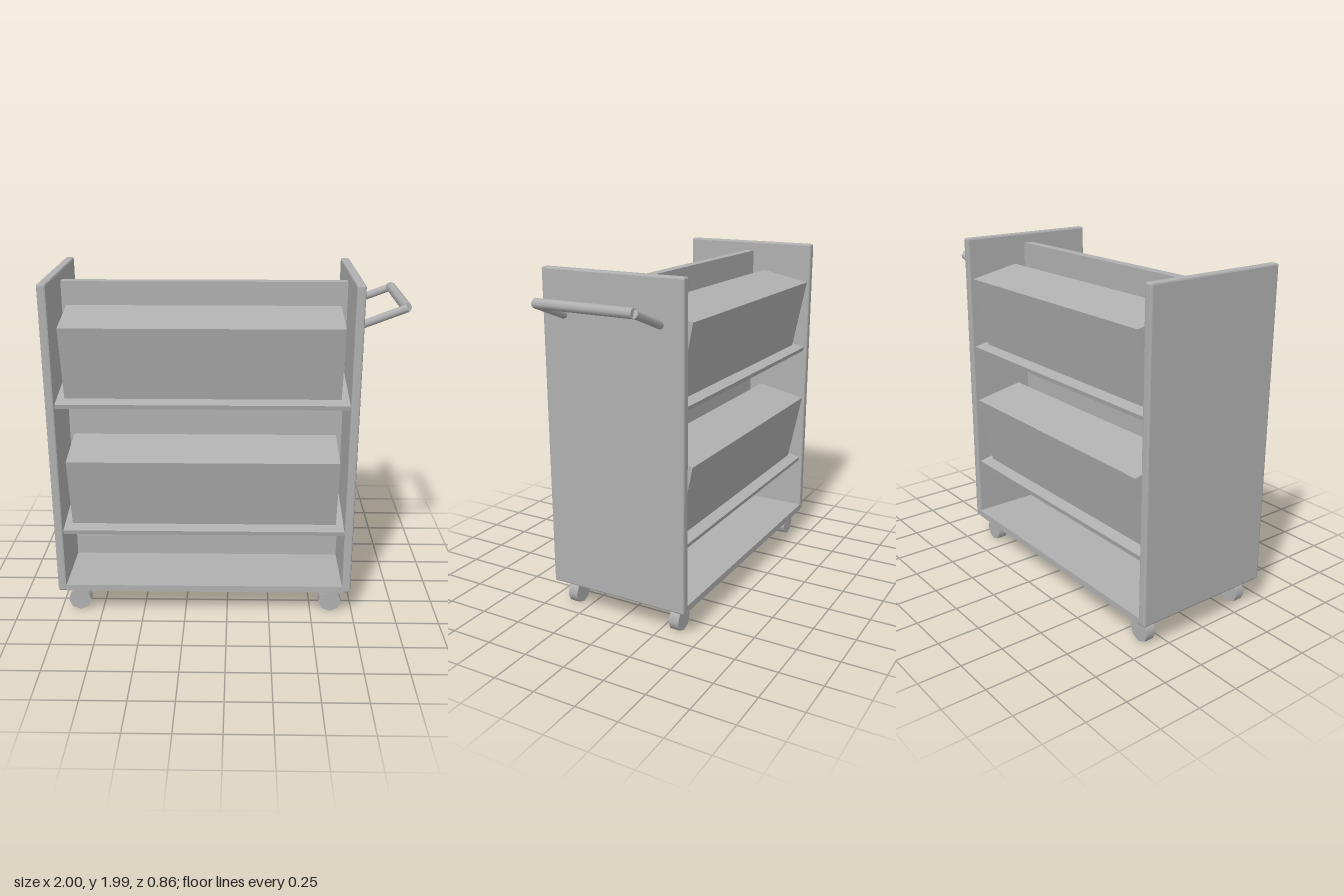
import * as THREE from 'three';
import { RoundedBoxGeometry } from 'three/addons/geometries/RoundedBoxGeometry.js';

const grey = new THREE.MeshStandardMaterial({ color: 0xb0b0b0 });
grey.name = 'plain grey';

const MID = -0.135; // middle of the cabinet along x
const TILT = 0.2;   // slope of shelves and book blocks

export function createModel() {
  const model = new THREE.Group();
  model.name = 'bookCart';

  const add = (name, geometry, x, y, z, parent = model) => {
    const mesh = new THREE.Mesh(geometry, grey);
    mesh.name = name;
    mesh.position.set(x, y, z);
    parent.add(mesh);
    return mesh;
  };

  // Round bar between two points
  const bar = (name, a, b, radius, sides) => {
    const dir = b.clone().sub(a);
    const mid = a.clone().add(b).multiplyScalar(0.5);
    const mesh = add(name, new THREE.CylinderGeometry(radius, radius, dir.length(), sides), mid.x, mid.y, mid.z);
    mesh.quaternion.setFromUnitVectors(new THREE.Vector3(0, 1, 0), dir.normalize());
  };

  // End panels with chamfered edges
  for (const [name, x] of [['rightPanel', -0.975], ['leftPanel', 0.705]]) {
    const panel = new RoundedBoxGeometry(0.05, 1.83, 0.86, 1, 0.01);
    panel.computeVertexNormals();
    add(name, panel, x, 1.075, 0);
  }

  // Central divider and bottom deck
  add('divider', new THREE.BoxGeometry(1.64, 1.77, 0.06), MID, 1.045, 0);
  add('bottomDeck', new THREE.BoxGeometry(1.64, 0.04, 0.86), MID, 0.18, 0);

  // Two tiers of sloping shelves with book blocks, front and back
  for (const [side, turn] of [['front', 0], ['back', Math.PI]]) {
    const half = new THREE.Group();
    half.name = side + 'Shelving';
    half.rotation.y = turn;
    half.position.x = MID;
    model.add(half);
    for (const lift of [0, 0.77]) {
      const shelf = add('shelf', new THREE.BoxGeometry(1.64, 0.026, 0.4), 0, 0.577, 0.213, half);
      const books = add('bookBlock', new THREE.BoxGeometry(1.542, 0.428, 0.306), 0, 0.805, 0.2375, half);
      for (const part of [shelf, books]) {
        part.rotation.x = TILT;
        part.position.y += lift;
      }
    }
  }

  // Push handle on the left end
  for (const z of [-0.293, 0.293]) {
    bar('handleArm', new THREE.Vector3(0.725, 1.745, z), new THREE.Vector3(0.972, 1.84, z), 0.023, 8);
  }
  bar('handleGrip', new THREE.Vector3(0.97, 1.842, -0.29), new THREE.Vector3(0.97, 1.842, 0.29), 0.028, 8);

  // Eight-sided wheels
  for (const x of [-0.887, 0.617]) {
    for (const z of [-0.34, 0.34]) {
      const wheel = add('wheel', new THREE.CylinderGeometry(0.068, 0.068, 0.06, 8), x, 0.068, z);
      wheel.rotation.x = Math.PI / 2;
    }
  }
  return model;
}
